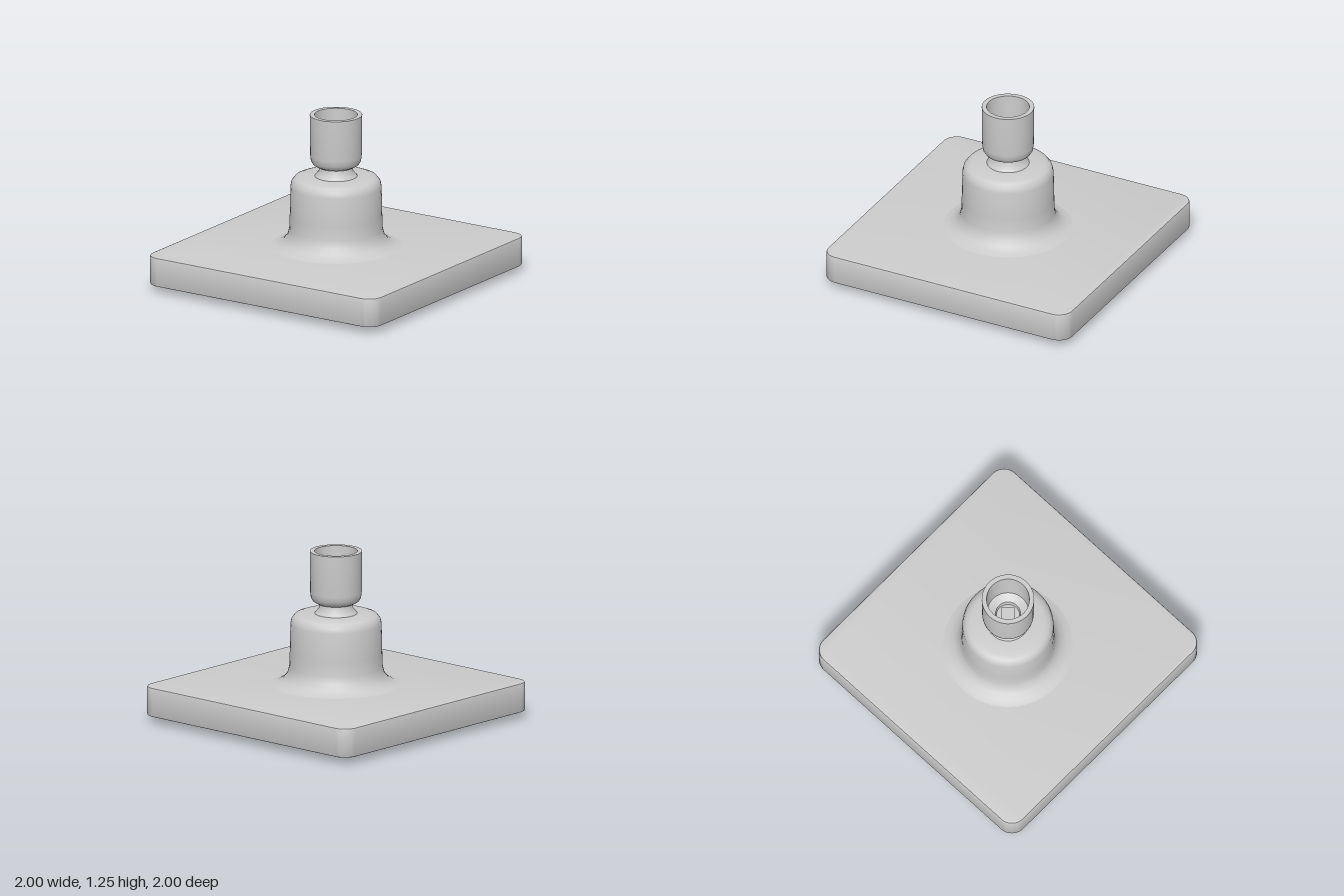
import * as THREE from 'three';
import { toCreasedNormals } from 'three/addons/utils/BufferGeometryUtils.js';

const grey = new THREE.MeshStandardMaterial({ color: 0xcccccc });

function addMesh(parent, name, geometry, x = 0, y = 0, z = 0) {
  const mesh = new THREE.Mesh(geometry, grey);
  mesh.name = name;
  mesh.position.set(x, y, z);
  parent.add(mesh);
  return mesh;
}

function roundedSquare(h, r) {
  const s = new THREE.Shape();
  s.moveTo(h, -h + r);
  s.absarc(h - r, h - r, r, 0, Math.PI / 2);
  s.absarc(-h + r, h - r, r, Math.PI / 2, Math.PI);
  s.absarc(-h + r, -h + r, r, Math.PI, Math.PI * 1.5);
  s.absarc(h - r, -h + r, r, Math.PI * 1.5, Math.PI * 2);
  return s;
}

// Profile points are [radius, height], traced up the outside
function turned(points, segments = 40) {
  const geometry = new THREE.LatheGeometry(points.map(([r, y]) => new THREE.Vector2(r, y)), segments);
  return toCreasedNormals(geometry, 0.65);
}

export function createModel() {
  const model = new THREE.Group();
  model.name = 'showerHead';

  // Square plate with rounded corners and a small edge bevel
  const bevel = 0.012, bottom = 0.05, top = 0.268;
  const plate = new THREE.ExtrudeGeometry(roundedSquare(1 - bevel, 0.1), {
    depth: top - bottom - 2 * bevel, bevelSize: bevel, bevelThickness: bevel,
    bevelSegments: 2, curveSegments: 6,
  });
  plate.rotateX(-Math.PI / 2);
  addMesh(model, 'plate', toCreasedNormals(plate, 0.5), 0, bottom + bevel, 0);

  // Shallow sloping spray face with a square panel in the middle
  const slope = new THREE.CylinderGeometry(0.95 * Math.SQRT2, 0.28 * Math.SQRT2, 0.034, 4);
  slope.rotateY(Math.PI / 4);
  addMesh(model, 'sprayFace', toCreasedNormals(slope, 0.005), 0, 0.035, 0);
  addMesh(model, 'centrePanel', new THREE.BoxGeometry(0.48, 0.008, 0.48), 0, 0.016, 0);

  // Nozzles in three square rings around the panel
  const nozzles = new THREE.Group();
  nozzles.name = 'nozzles';
  model.add(nozzles);
  const nozzle = new THREE.CylinderGeometry(0.018, 0.011, 0.03, 8);
  const ringHeight = [0, 0.015, 0.022, 0.03];
  for (let i = -3; i <= 3; i++) {
    for (let j = -3; j <= 3; j++) {
      const ring = Math.max(Math.abs(i), Math.abs(j));
      if (ring > 0) addMesh(nozzles, 'nozzle', nozzle, i * 0.262, ringHeight[ring], j * 0.262);
    }
  }

  // Bell housing flaring into the plate
  addMesh(model, 'housing', turned([
    [0.48, 0.266], [0.43, 0.277], [0.385, 0.303], [0.352, 0.345], [0.338, 0.4],
    [0.335, 0.5], [0.33, 0.715], [0.322, 0.75], [0.3, 0.778], [0.265, 0.79], [0.14, 0.793],
  ], 48));

  // Swivel neck
  addMesh(model, 'neck', turned([
    [0.16, 0.785], [0.145, 0.805], [0.125, 0.83], [0.12, 0.88], [0.12, 0.9],
  ]));

  // Hollow inlet connector with a rounded base and a stepped bore
  addMesh(model, 'connector', turned([
    [0.1, 0.862], [0.135, 0.866], [0.165, 0.883], [0.182, 0.91], [0.187, 0.95],
    [0.19, 1.255], [0.155, 1.255], [0.15, 0.98], [0.09, 0.95], [0.085, 0.91], [0, 0.91],
  ]));

  // Four-sided inlet seat inside the bore
  addMesh(model, 'inletSeat', new THREE.CylinderGeometry(0.07, 0.07, 0.04, 4), 0, 0.925, 0);

  return model;
}
